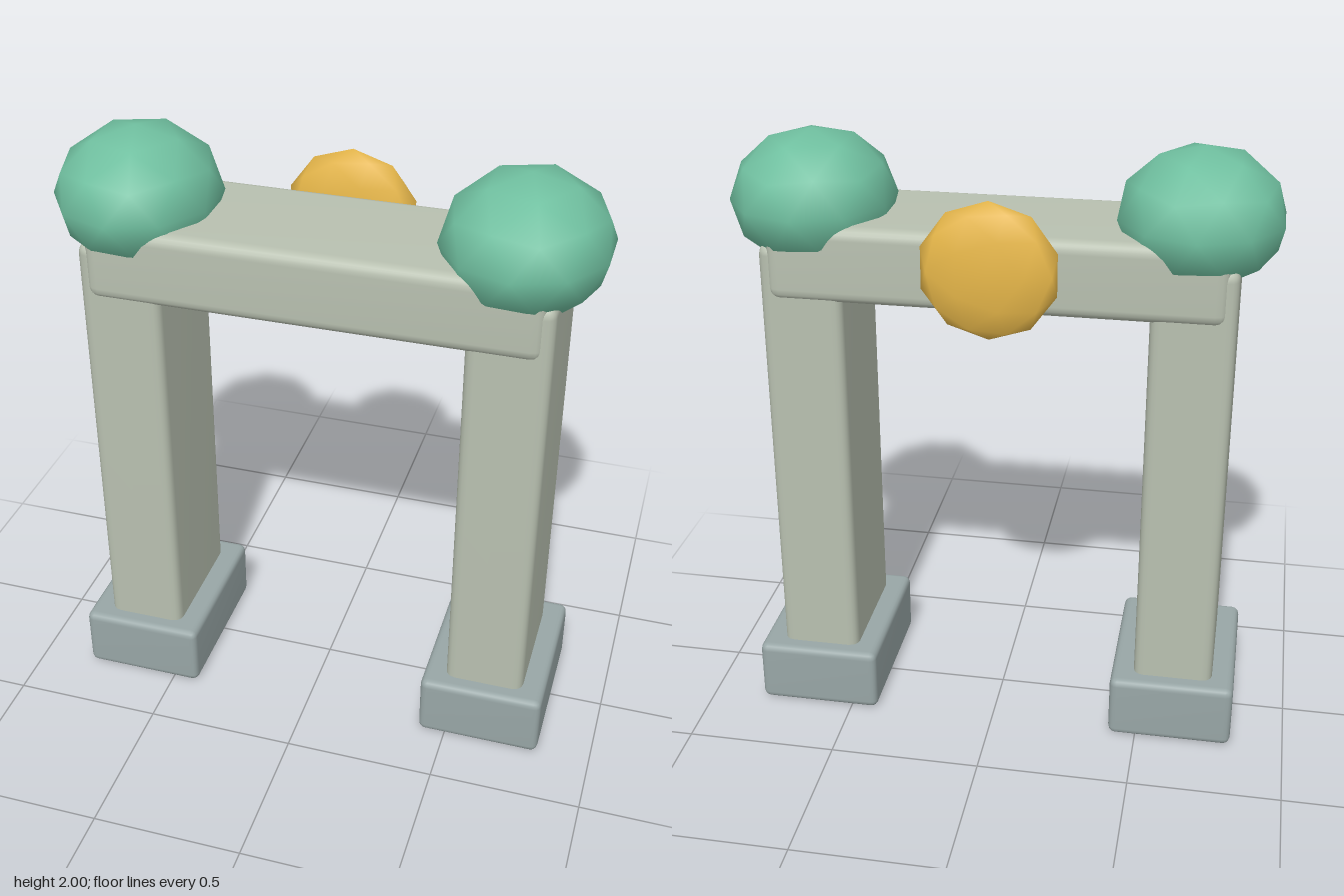
import * as THREE from 'three';
import { RoundedBoxGeometry } from 'three/addons/geometries/RoundedBoxGeometry.js';
import { mergeVertices } from 'three/addons/utils/BufferGeometryUtils.js';

const stone = new THREE.MeshStandardMaterial({ color: 0xb8c0b0 });
const slate = new THREE.MeshStandardMaterial({ color: 0x98a6a6 });
const green = new THREE.MeshStandardMaterial({ color: 0x70c0a0 });
const gold = new THREE.MeshStandardMaterial({ color: 0xe8b84a });

const MID_Z = 0.027;
const PILLAR_X = 0.615;

// Box with bevelled edges and normals blended softly across them
function softBox(w, h, d, bevel) {
  const box = new RoundedBoxGeometry(w, h, d, 2, bevel);
  box.deleteAttribute('normal');
  box.deleteAttribute('uv');
  const geometry = mergeVertices(box, 1e-4);
  geometry.computeVertexNormals();
  return geometry;
}

// Faceted ball with a pole on the y axis and a ring of ten points at its equator
function icoBall() {
  return new THREE.IcosahedronGeometry(1, 1)
    .rotateX(-Math.atan((1 + Math.sqrt(5)) / 2))
    .rotateY(Math.PI / 2);
}

export function createModel() {
  const model = new THREE.Group();
  model.name = 'gateway';

  const add = (name, geometry, material, x, y, z) => {
    const mesh = new THREE.Mesh(geometry, material);
    mesh.name = name;
    mesh.position.set(x, y, z);
    model.add(mesh);
  };

  // Two pillars, each on a block foot and topped by a bush
  const foot = softBox(0.415, 0.22, 0.555, 0.025);
  const pillar = softBox(0.265, 1.675, 0.445, 0.035);
  const bush = icoBall().scale(0.266, 0.22, 0.288);
  for (const [side, s] of [['left', 1], ['right', -1]]) {
    add(side + 'Foot', foot, slate, s * PILLAR_X, 0.114, MID_Z);
    add(side + 'Pillar', pillar, stone, s * PILLAR_X, 0.8415, MID_Z);
    add(side + 'Bush', bush, green, s * PILLAR_X, 1.78, MID_Z);
  }

  // Cross beam
  add('beam', softBox(1.44, 0.25, 0.47, 0.04), stone, 0, 1.625, MID_Z);

  // Flattened disc on the back of the beam
  const disc = icoBall().rotateX(Math.PI / 2).scale(0.22, 0.22, 0.063);
  add('disc', disc, gold, 0, 1.66, -0.255);

  return model;
}
